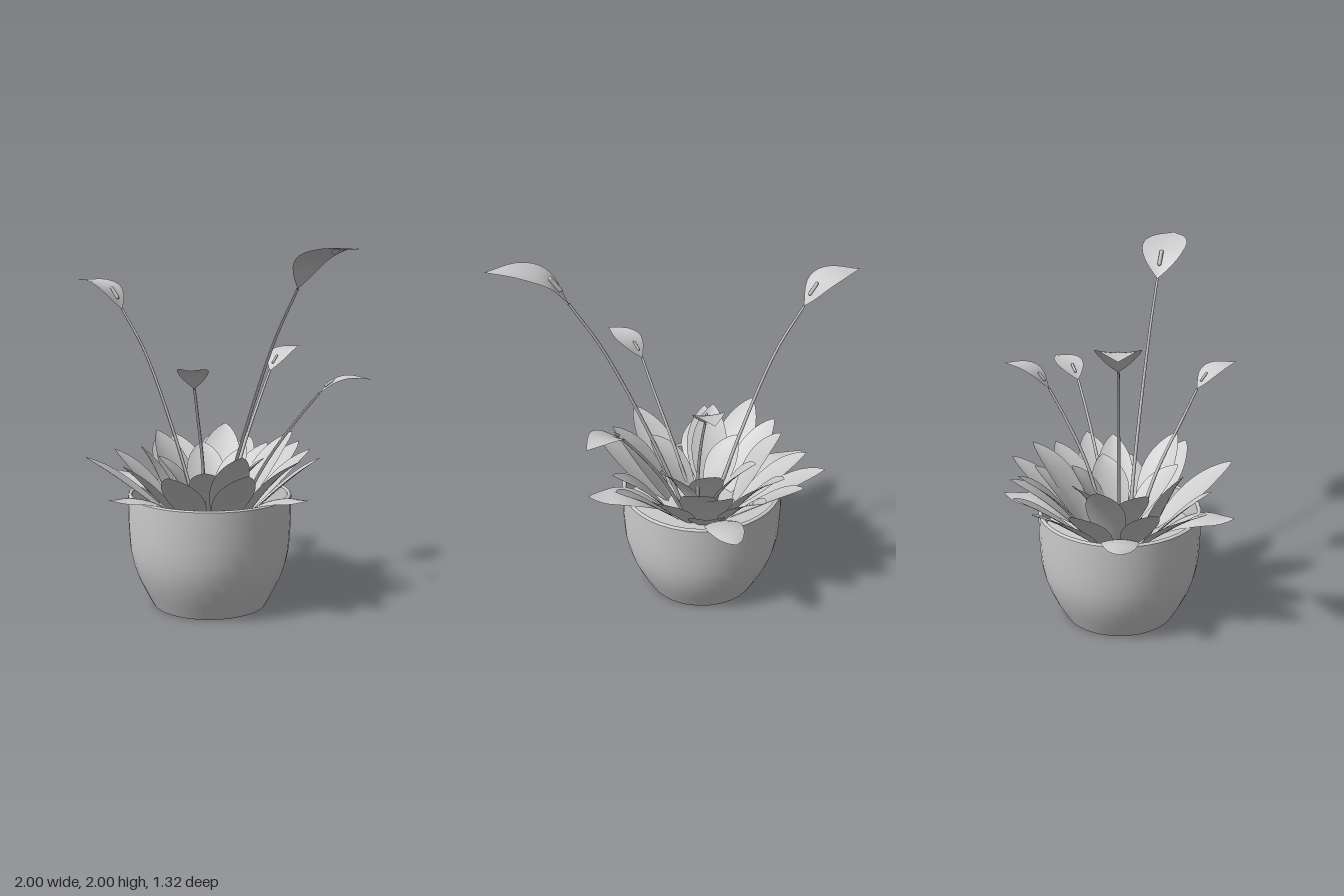
import * as THREE from 'three';

const material = new THREE.MeshStandardMaterial({ color: 0xcccccc, side: THREE.DoubleSide });
const V = (x, y, z) => new THREE.Vector3(x, y, z);
const CENTRE = V(-0.055, 0, 0.005);

function add(parent, geometry, name) {
  const mesh = new THREE.Mesh(geometry, material);
  mesh.name = name;
  parent.add(mesh);
  return mesh;
}

// Pointed blade swept along a curve; peak moves the widest point, fullness rounds the outline, cup raises the edges
function bladeGeometry(curve, { width, peak, fullness, cup }) {
  const rows = 16, cols = 8;
  const dir = curve.getPoint(1).sub(curve.getPoint(0)).setY(0).normalize();
  const side = V(0, 1, 0).cross(dir);
  const positions = [], index = [];
  for (let i = 0; i <= rows; i++) {
    const t = i / rows;
    const p = curve.getPointAt(t);
    const normal = curve.getTangentAt(t).cross(side);
    const half = 0.5 * width * Math.pow(Math.max(0, Math.sin(Math.PI * Math.pow(t, peak))), fullness);
    for (let j = 0; j <= cols; j++) {
      const s = (2 * j) / cols - 1;
      const q = p.clone().addScaledVector(side, s * half).addScaledVector(normal, cup * half * s * s);
      positions.push(q.x, q.y, q.z);
      if (i < rows && j < cols) {
        const a = i * (cols + 1) + j, b = a + cols + 1;
        index.push(a, b, a + 1, a + 1, b, b + 1);
      }
    }
  }
  const geometry = new THREE.BufferGeometry();
  geometry.setAttribute('position', new THREE.Float32BufferAttribute(positions, 3));
  geometry.setIndex(index);
  geometry.computeVertexNormals();
  return geometry;
}

// Thin tube that narrows from r0 to r1
function stemGeometry(curve, r0, r1, rows = 20, sides = 8) {
  const geometry = new THREE.TubeGeometry(curve, rows, 1, sides);
  const pos = geometry.attributes.position;
  const v = V(0, 0, 0);
  for (let k = 0; k < pos.count; k++) {
    const t = Math.floor(k / (sides + 1)) / rows;
    const c = curve.getPointAt(t);
    v.fromBufferAttribute(pos, k).sub(c).multiplyScalar(r0 + (r1 - r0) * t).add(c);
    pos.setXYZ(k, v.x, v.y, v.z);
  }
  geometry.computeVertexNormals();
  return geometry;
}

// Leaves: tip x, tip z, tip y, width
const LOW = [[0.61, 0.07, 0.69, 0.2], [-0.71, 0.01, 0.695, 0.2], [-0.29, 0.63, 0.69, 0.2], [0.04, -0.66, 0.69, 0.2]];
const MIDDLE = [
  [-0.59, 0.45, 0.86, 0.23], [-0.6, -0.44, 0.86, 0.23], [0.11, 0.65, 0.86, 0.22], [0.43, 0.4, 0.86, 0.22],
  [0.54, -0.2, 0.87, 0.22], [0.18, -0.62, 0.86, 0.2], [-0.4, -0.56, 0.86, 0.22], [-0.6, -0.23, 0.85, 0.21],
  [-0.6, 0.17, 0.86, 0.2], [0.38, -0.38, 0.87, 0.22], [-0.29, 0.5, 0.85, 0.2],
];
const UPPER = [
  [-0.29, -0.54, 0.94, 0.24], [-0.15, -0.6, 0.86, 0.2], [-0.5, -0.11, 0.94, 0.22], [-0.28, 0.35, 0.94, 0.21],
  [0.36, 0.34, 0.94, 0.21], [0.5, -0.04, 0.87, 0.21], [0.2, -0.5, 0.94, 0.21], [0.04, -0.48, 0.86, 0.2],
];
const INNER = [
  [-0.27, -0.25, 0.87, 0.22], [-0.33, 0.12, 0.84, 0.21], [0.24, -0.1, 0.85, 0.22],
  [0.13, 0.34, 0.83, 0.2], [0.02, -0.27, 0.87, 0.2],
];

// Each path lists [share of the reach, share of the rise] between base and tip
const LOW_PATH = [[0, 0], [0.36, 0.68], [0.63, 0.9], [0.82, 0.93], [1, 1]];
const MIDDLE_PATH = [[0, 0], [0.45, 0.49], [0.75, 0.79], [1, 1]];
const UPPER_PATH = [[0, 0], [0.4, 0.5], [0.7, 0.79], [1, 1]];

function addLeaves(parent, list, name, baseRadius, baseY, path, cup) {
  for (const [x, z, y, width] of list) {
    const out = V(x, 0, z).sub(CENTRE);
    const reach = out.length() - baseRadius;
    out.normalize();
    const curve = new THREE.CatmullRomCurve3(path.map(([r, h]) =>
      CENTRE.clone().addScaledVector(out, baseRadius + reach * r).setY(baseY + (y - baseY) * h)));
    add(parent, bladeGeometry(curve, { width, peak: 1.15, fullness: 0.75, cup }), name);
  }
}

// Flowers: stem points, spathe points, spathe width
const FLOWERS = [
  [[[0.05, 0.5, 0.06], [0.2, 0.93, 0.1], [0.45, 1.53, 0.175], [0.605, 1.8, 0.22]],
    [[0.7, 1.93, 0.25], [0.84, 1.985, 0.29], [1, 1.995, 0.33]], 0.26],
  [[[-0.14, 0.5, 0], [-0.3, 0.95, 0], [-0.5, 1.41, 0], [-0.66, 1.65, 0]],
    [[-0.75, 1.765, 0], [-0.85, 1.808, 0], [-1, 1.812, 0]], 0.22],
  [[[-0.03, 0.5, 0.1], [0.04, 0.84, 0.22], [0.1, 1.13, 0.36], [0.13, 1.29, 0.435]],
    [[0.165, 1.37, 0.5], [0.2, 1.4, 0.56], [0.25, 1.41, 0.66]], 0.16],
  [[[0.01, 0.5, -0.08], [0.05, 0.86, -0.18], [0.085, 1.13, -0.3], [0.105, 1.3, -0.39]],
    [[0.125, 1.385, -0.46], [0.14, 1.42, -0.53], [0.165, 1.43, -0.64]], 0.16],
  [[[0.08, 0.5, -0.06], [0.24, 0.83, -0.13], [0.4, 1.08, -0.2], [0.5, 1.215, -0.245]],
    [[0.57, 1.275, -0.285], [0.64, 1.3, -0.325], [0.745, 1.292, -0.39]], 0.17],
];

function createFlower([stemPoints, spathePoints, width]) {
  const flower = new THREE.Group();
  flower.name = 'flower';
  const stem = new THREE.CatmullRomCurve3(stemPoints.map((p) => V(...p)));
  add(flower, stemGeometry(stem, 0.011, 0.007), 'stem');

  const base = stem.getPoint(1);
  const hood = new THREE.CatmullRomCurve3([base, ...spathePoints.map((p) => V(...p))]);
  add(flower, bladeGeometry(hood, { width, peak: 0.9, fullness: 1.1, cup: 0.1 }), 'spathe');

  // Slim spadix rising out of the spathe
  const length = width * 0.3;
  const axis = hood.getPointAt(0.3).sub(base).normalize();
  const spadix = add(flower, new THREE.CapsuleGeometry(width * 0.045, length, 4, 8), 'spadix');
  spadix.quaternion.setFromUnitVectors(V(0, 1, 0), axis);
  spadix.position.copy(base).addScaledVector(axis, width * 0.4).add(V(0, width * 0.1, 0));
  return flower;
}

export function createModel() {
  const model = new THREE.Group();
  model.name = 'pottedPlant';

  // Pot: rounded outer wall, then a crisp rim and the inner wall down to the soil
  const pot = new THREE.Group();
  pot.name = 'pot';
  pot.position.copy(CENTRE);
  model.add(pot);
  const profile = (points) => new THREE.LatheGeometry(points.map(([r, y]) => new THREE.Vector2(r, y)), 40);
  add(pot, profile([[0.325, 0], [0.37, 0.085], [0.41, 0.17], [0.435, 0.25], [0.451, 0.33], [0.457, 0.42], [0.461, 0.52], [0.461, 0.635]]), 'potWall');
  add(pot, profile([[0.461, 0.635], [0.455, 0.642], [0.442, 0.642], [0.438, 0.635]]), 'potRim');
  add(pot, profile([[0.438, 0.635], [0.436, 0.54], [0.432, 0.48]]), 'potInside');
  const bottom = add(pot, new THREE.CircleGeometry(0.325, 40), 'potBottom');
  bottom.rotation.x = Math.PI / 2;
  const soil = add(pot, new THREE.CircleGeometry(0.433, 40), 'soil');
  soil.rotation.x = -Math.PI / 2;
  soil.position.y = 0.5;

  // Rosette of leaves, from the rim inwards
  const leaves = new THREE.Group();
  leaves.name = 'leaves';
  model.add(leaves);
  addLeaves(leaves, LOW, 'lowLeaf', 0.2, 0.5, LOW_PATH, -0.15);
  addLeaves(leaves, MIDDLE, 'middleLeaf', 0.17, 0.46, MIDDLE_PATH, 0.12);
  addLeaves(leaves, UPPER, 'upperLeaf', 0.17, 0.45, UPPER_PATH, 0.15);
  addLeaves(leaves, INNER, 'innerLeaf', 0.05, 0.49, UPPER_PATH, 0.18);

  for (const spec of FLOWERS) model.add(createFlower(spec));
  return model;
}
